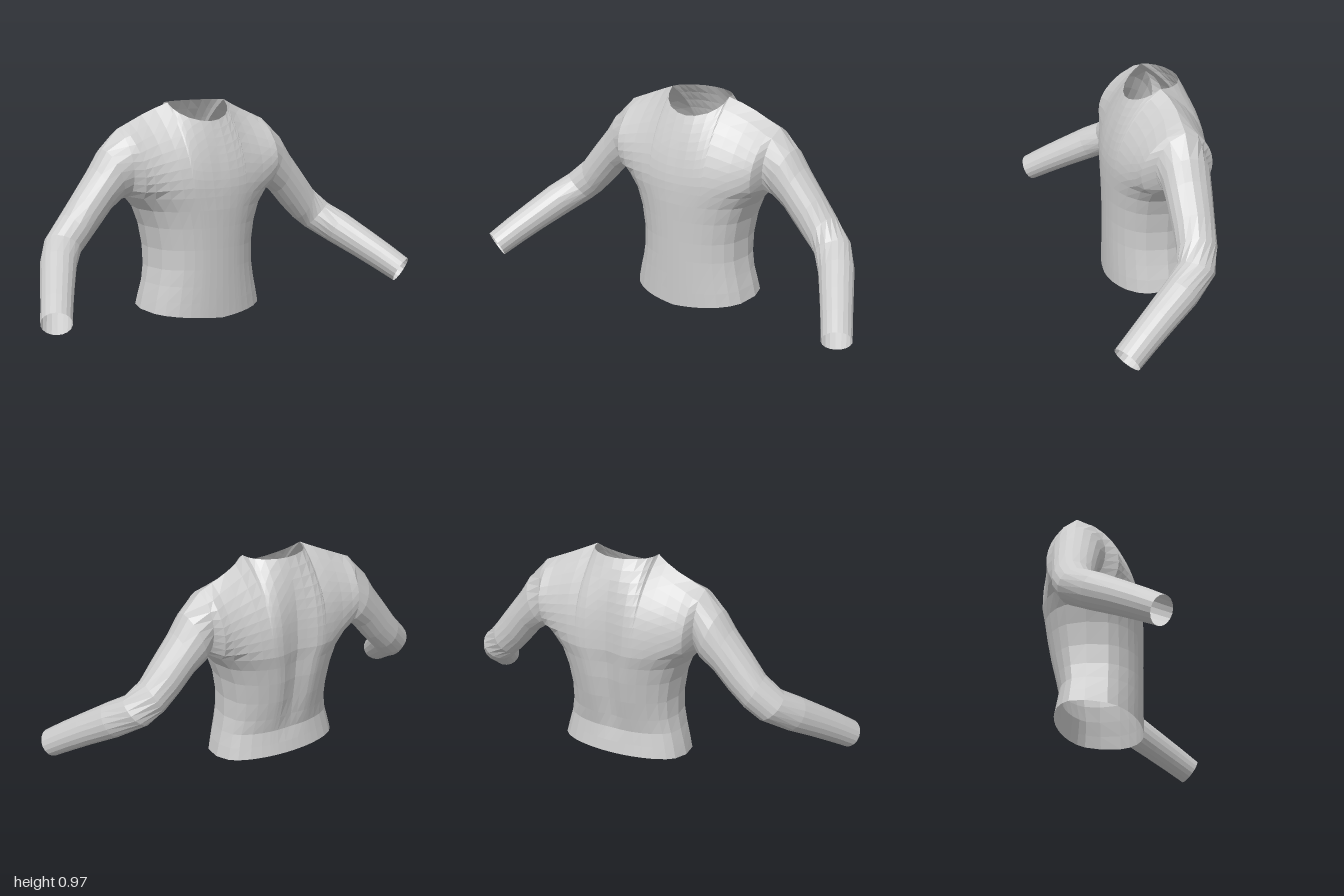
import * as THREE from 'three';

const material = new THREE.MeshStandardMaterial({ color: 0xcccccc, flatShading: true, side: THREE.DoubleSide });
const lerp = THREE.MathUtils.lerp;

// Skin a grid of points (rows of equal length) as one named mesh
function skin(name, rows, closed = false) {
  const n = rows[0].length, index = [];
  for (let i = 0; i < rows.length - 1; i++) {
    for (let j = 0; j < (closed ? n : n - 1); j++) {
      const a = i * n + j, b = i * n + (j + 1) % n;
      index.push(a, b, b + n, a, b + n, a + n);
    }
  }
  const geometry = new THREE.BufferGeometry().setFromPoints(rows.flat());
  geometry.setIndex(index);
  geometry.computeVertexNormals();
  const mesh = new THREE.Mesh(geometry, material);
  mesh.name = name;
  return mesh;
}

// Column positions across a panel, as a fraction of the half width
const half = [0.12, 0.25, 0.33, 0.37, 0.3875, 0.52, 0.68, 0.84, 0.94, 1];
const columns = [...half.map(s => -s).reverse(), 0, ...half];
const NECK = 0.3875, ARMPIT = 0.56, ROWS = 9, SIDE_Z = -0.1;

// Front or back depth of the body, with a spine groove behind
function bodyZ(s, depth, groove) {
  const bulge = Math.pow(Math.max(0, 1 - s * s), 0.4);
  return SIDE_Z + (depth - SIDE_Z) * bulge + groove * Math.exp(-((s / 0.2) ** 2));
}

// Body rings from hem to armpit: y, half width, front z, back z, groove
const bodyRings = [
  [0.00, 0.305, 0.125, -0.270, 0],
  [0.07, 0.292, 0.125, -0.260, 0],
  [0.15, 0.275, 0.125, -0.250, 0.005],
  [0.23, 0.261, 0.125, -0.267, 0.015],
  [0.32, 0.260, 0.125, -0.290, 0.025],
  [0.42, 0.277, 0.126, -0.310, 0.03],
  [0.50, 0.308, 0.127, -0.322, 0.035],
  [ARMPIT, 0.36, 0.125, -0.332, 0.035],
];

function bodyRow([y, w, front, back, groove]) {
  const point = (s, z) => {
    // The hem rises towards the back
    const rise = 0.05 * Math.sqrt(THREE.MathUtils.clamp((0.125 - z) / 0.38, 0, 1));
    return new THREE.Vector3(s * w, y + rise * Math.max(0, 1 - y / 0.2), z);
  };
  const f = columns.map(s => point(s, bodyZ(s, front, 0)));
  const b = columns.slice(1, -1).reverse().map(s => point(s, bodyZ(s, back, groove)));
  return [...f, ...b];
}

// Top edge of a panel: neckline in the middle, shoulder seam outside it
function topEdge(s, isFront) {
  const a = Math.abs(s);
  if (a >= NECK) {
    const k = (a - NECK) / (1 - NECK);
    return [lerp(0.972, 0.865, k), lerp(-0.095, -0.13, Math.min(1, k * 3))];
  }
  const c = Math.sqrt(1 - (a / NECK) ** 2);
  return isFront ? [0.972 - 0.082 * c, -0.095 + 0.12 * c] : [0.972 - 0.007 * c, -0.095 - 0.12 * c];
}

// Chest or upper back panel, from armpit level to neckline and shoulders
function panelPoint(s, t, isFront) {
  const a = Math.abs(s), [yTop, zTop] = topEdge(s, isFront);
  const zBase = isFront ? bodyZ(s, 0.125, 0) : bodyZ(s, -0.332, 0.035);
  const fall = 1 - Math.pow(t, isFront ? 1.6 + 1.2 * a : 2.6);
  const open = Math.pow(a, 6) * Math.sqrt(Math.max(0, Math.sin(Math.PI * t)));
  const z = lerp(zTop, zBase, fall) + (isFront ? 0.1 : -0.115) * open;
  return new THREE.Vector3(s * (0.36 + 0.04 * Math.sqrt(t)), lerp(ARMPIT, yTop, t), z);
}

function panelRows(isFront) {
  const cols = isFront ? columns : [...columns].reverse();
  return Array.from({ length: ROWS + 1 }, (_, i) => cols.map(s => panelPoint(s, i / ROWS, isFront)));
}

// Sleeve stations: centre, vector to the upper edge, half depth
const stations = [
  [[0.440, 0.665, -0.125], [0.040, 0.115, 0], 0.107],
  [[0.498, 0.603, -0.123], [0.033, 0.098, 0], 0.100],
  [[0.575, 0.510, -0.118], [0.045, 0.080, 0], 0.092],
  [[0.640, 0.435, -0.112], [0.042, 0.074, 0.005], 0.087],
  [[0.705, 0.375, -0.088], [0.043, 0.060, 0.034], 0.084],
  [[0.775, 0.315, 0.000], [0.022, 0.070, 0.031], 0.079],
  [[0.840, 0.247, 0.110], [0.018, 0.064, 0.029], 0.073],
  [[0.890, 0.192, 0.196], [0.017, 0.060, 0.027], 0.069],
  [[0.937, 0.137, 0.278], [0.016, 0.055, 0.025], 0.067],
];

function sleeveRows(side) {
  // Armhole: from the shoulder down the front edge, then up the back edge
  const armhole = [];
  for (let i = ROWS; i >= 0; i--) armhole.push(panelPoint(1, i / ROWS, true));
  for (let i = 1; i < ROWS; i++) armhole.push(panelPoint(1, i / ROWS, false));
  const centres = stations.map(st => new THREE.Vector3(...st[0]));
  const rows = [armhole];
  stations.forEach(([, up, depth], i) => {
    const along = centres[Math.min(i + 1, centres.length - 1)].clone().sub(centres[Math.max(i - 1, 0)]);
    const upper = new THREE.Vector3(...up);
    const front = along.cross(upper).setLength(depth);
    rows.push(armhole.map((_, k) => {
      const angle = k / armhole.length * Math.PI * 2;
      return centres[i].clone().addScaledVector(upper, Math.cos(angle)).addScaledVector(front, Math.sin(angle));
    }));
  });
  if (side > 0) return rows;
  return rows.map(r => r.map(p => p.clone().setX(-p.x)).reverse());
}

export function createModel() {
  const shirt = new THREE.Group();
  shirt.name = 'longSleevedShirt';
  shirt.add(
    skin('body', bodyRings.map(bodyRow), true),
    skin('chestPanel', panelRows(true)),
    skin('upperBackPanel', panelRows(false)),
    skin('leftSleeve', sleeveRows(1), true),
    skin('rightSleeve', sleeveRows(-1), true),
  );
  return shirt;
}
